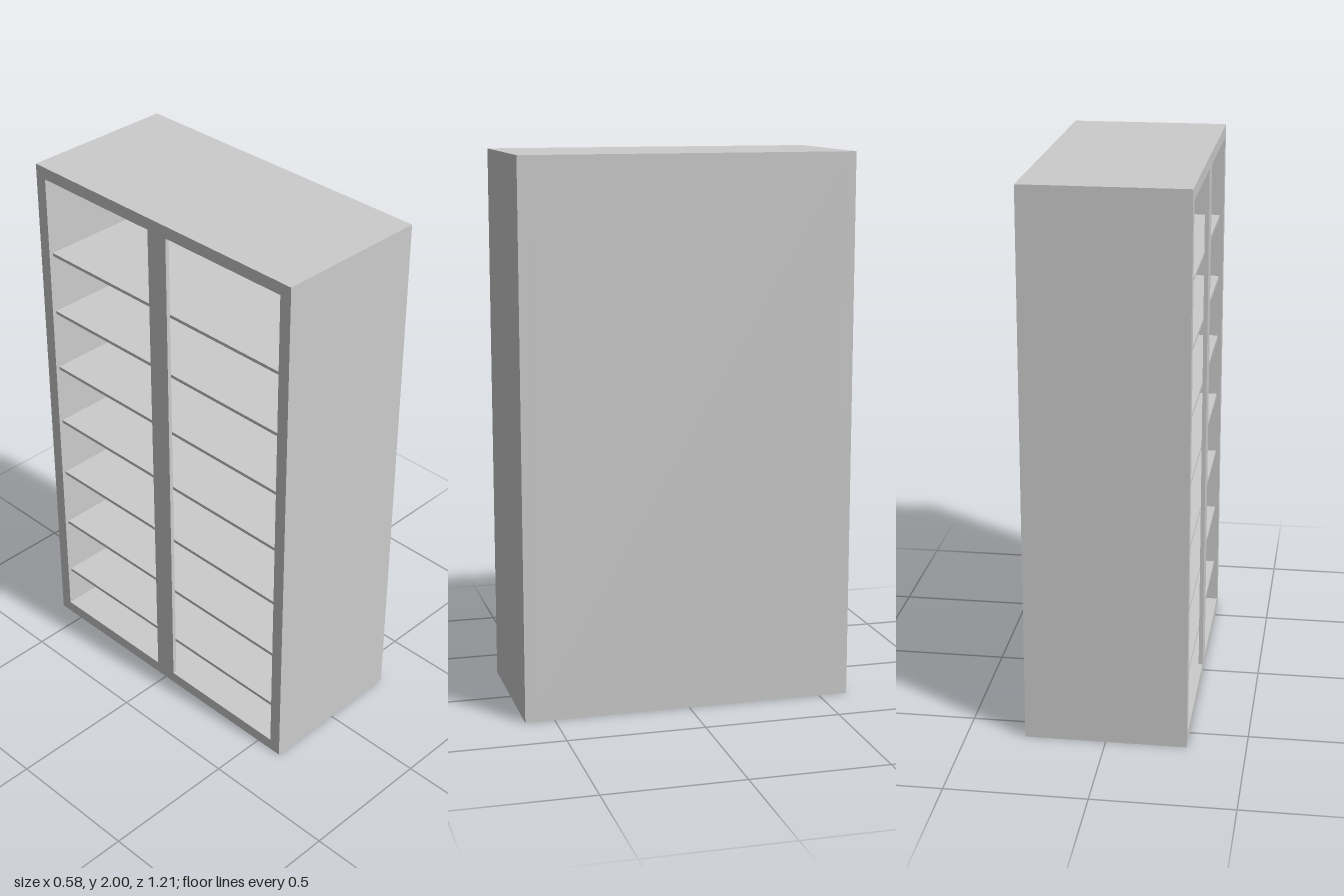
import * as THREE from 'three';

const W = 0.58, H = 2, D = 1.214; // extent in x, y, z
const WALL = 0.045, FRAME = 0.015, BACK = 0.02, POST = 0.086;

export function createModel() {
  const group = new THREE.Group();
  const material = new THREE.MeshStandardMaterial({ color: 0xcccccc, flatShading: true });

  const add = (name, geometry, x, y, z) => {
    const mesh = new THREE.Mesh(geometry, material);
    mesh.name = name;
    mesh.position.set(x, y, z);
    group.add(mesh);
    return mesh;
  };
  const board = (name, sx, sy, sz, x, y, z) =>
    add(name, new THREE.BoxGeometry(sx, sy, sz), x, y, z);

  // Carcass behind the face frame, open towards -x
  const depth = W - FRAME, cx = FRAME / 2;
  const innerH = H - 2 * WALL, innerD = D - 2 * WALL;
  board('topPanel', depth, WALL, D, cx, H - WALL / 2, 0);
  board('bottomPanel', depth, WALL, D, cx, WALL / 2, 0);
  for (const s of [-1, 1])
    board('sidePanel', depth, innerH, WALL, cx, H / 2, s * (D - WALL) / 2);
  board('backPanel', BACK, innerH, innerD, W / 2 - BACK / 2, H / 2, 0);

  // Thin face frame with two tall openings and a centre post
  const face = new THREE.Shape([
    new THREE.Vector2(-D / 2, 0), new THREE.Vector2(D / 2, 0),
    new THREE.Vector2(D / 2, H), new THREE.Vector2(-D / 2, H),
  ]);
  for (const s of [-1, 1]) {
    const a = s * POST / 2, b = s * innerD / 2;
    face.holes.push(new THREE.Path([
      new THREE.Vector2(a, WALL), new THREE.Vector2(a, H - WALL),
      new THREE.Vector2(b, H - WALL), new THREE.Vector2(b, WALL),
    ]));
  }
  const frame = add('faceFrame',
    new THREE.ExtrudeGeometry(face, { depth: FRAME, bevelEnabled: false }),
    -W / 2 + FRAME, 0, 0);
  frame.rotation.y = -Math.PI / 2;

  // Seven shelves running the full width behind the post
  for (let i = 0; i < 7; i++)
    board('shelf', depth - BACK, 0.012, innerD, cx - BACK / 2, 1.652 - i * 0.241, 0);

  return group;
}
